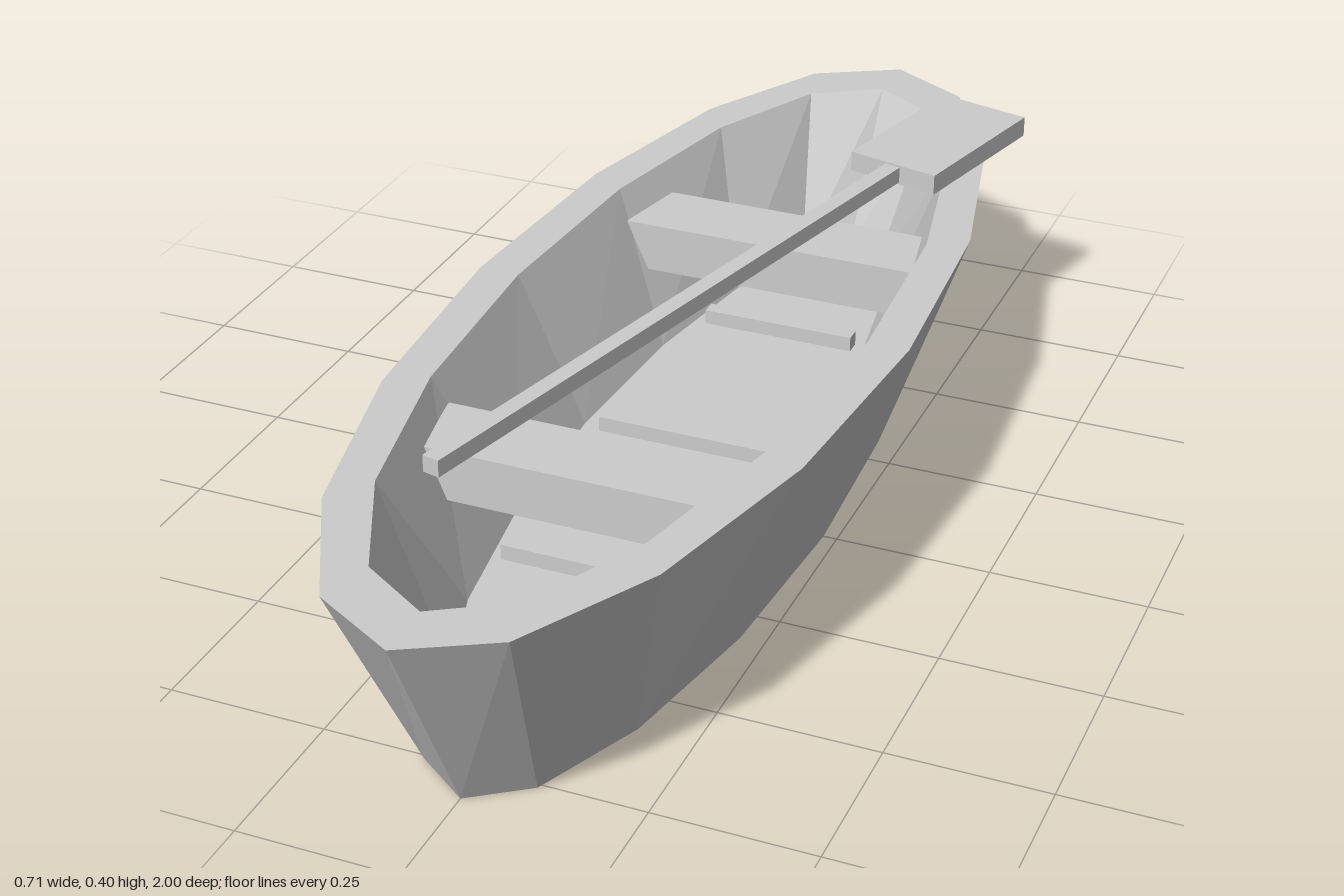
import * as THREE from 'three';

// Joins closed rings (listed anticlockwise from above) from first to last and caps both ends.
function loft(rings) {
  const pos = [];
  const tri = (...pts) => pts.forEach(p => pos.push(...p));
  const centre = ring => [0, 1, 2].map(k => ring.reduce((s, p) => s + p[k], 0) / ring.length);
  const n = rings[0].length, last = rings[rings.length - 1];
  const c0 = centre(rings[0]), c1 = centre(last);
  for (let i = 0; i < n; i++) {
    const j = (i + 1) % n;
    for (let r = 0; r < rings.length - 1; r++) {
      const a = rings[r], b = rings[r + 1];
      tri(a[i], a[j], b[j], a[i], b[j], b[i]);
    }
    tri(c0, rings[0][j], rings[0][i]);
    tri(c1, last[i], last[j]);
  }
  const g = new THREE.BufferGeometry();
  g.setAttribute('position', new THREE.Float32BufferAttribute(pos, 3));
  g.computeVertexNormals();
  return g;
}

// Sixteen-sided oval outline of the hull
function oval(rx, rz, y) {
  return Array.from({ length: 16 }, (_, i) => {
    const a = i * Math.PI / 8;
    return [rx * Math.sin(a), y, rz * Math.cos(a)];
  });
}

// Four-cornered outline: half widths at the near (z0) and far (z1) edges
function trapezoid(w0, w1, z0, z1, y) {
  return [[-w0, y, z0], [w0, y, z0], [w1, y, z1], [-w1, y, z1]];
}

export function createModel() {
  const boat = new THREE.Group();
  boat.name = 'rowingBoat';
  const grey = new THREE.MeshStandardMaterial({ color: 0xcccccc, flatShading: true });
  grey.name = 'pale grey';

  const add = (name, geometry, parent = boat) => {
    const mesh = new THREE.Mesh(geometry, grey);
    mesh.name = name;
    parent.add(mesh);
    return mesh;
  };

  // Hull: outer wall, flat rim, inner wall and floor
  add('hull', loft([
    oval(0.228, 0.82, 0),
    oval(0.356, 1, 0.36),
    oval(0.29, 0.905, 0.36),
    oval(0.18, 0.75, 0.115),
  ]));

  // Benches, cut to the slope of the walls
  const bench = loft([
    trapezoid(0.214, 0.19, -0.33, -0.46, 0.23),
    trapezoid(0.25, 0.224, -0.33, -0.46, 0.312),
  ]);
  add('backBench', bench);
  add('frontBench', bench).rotation.y = Math.PI;

  // Floor ribs
  for (const [name, z, width] of [['frontRib', 0.4, 0.26], ['middleRib', 0, 0.3], ['backRib', -0.4, 0.26]]) {
    add(name, new THREE.BoxGeometry(width, 0.035, 0.026)).position.set(0, 0.1225, z);
  }

  // Oar lying across the rim, centred on its blade
  const oar = new THREE.Group();
  oar.name = 'oar';
  oar.position.set(0.178, 0.38, -0.679);
  oar.rotation.y = -0.24;
  boat.add(oar);
  add('oarBlade', new THREE.BoxGeometry(0.163, 0.034, 0.292), oar);
  add('oarShaft', new THREE.BoxGeometry(0.028, 0.027, 1.2), oar).position.z = 0.722;

  return boat;
}
